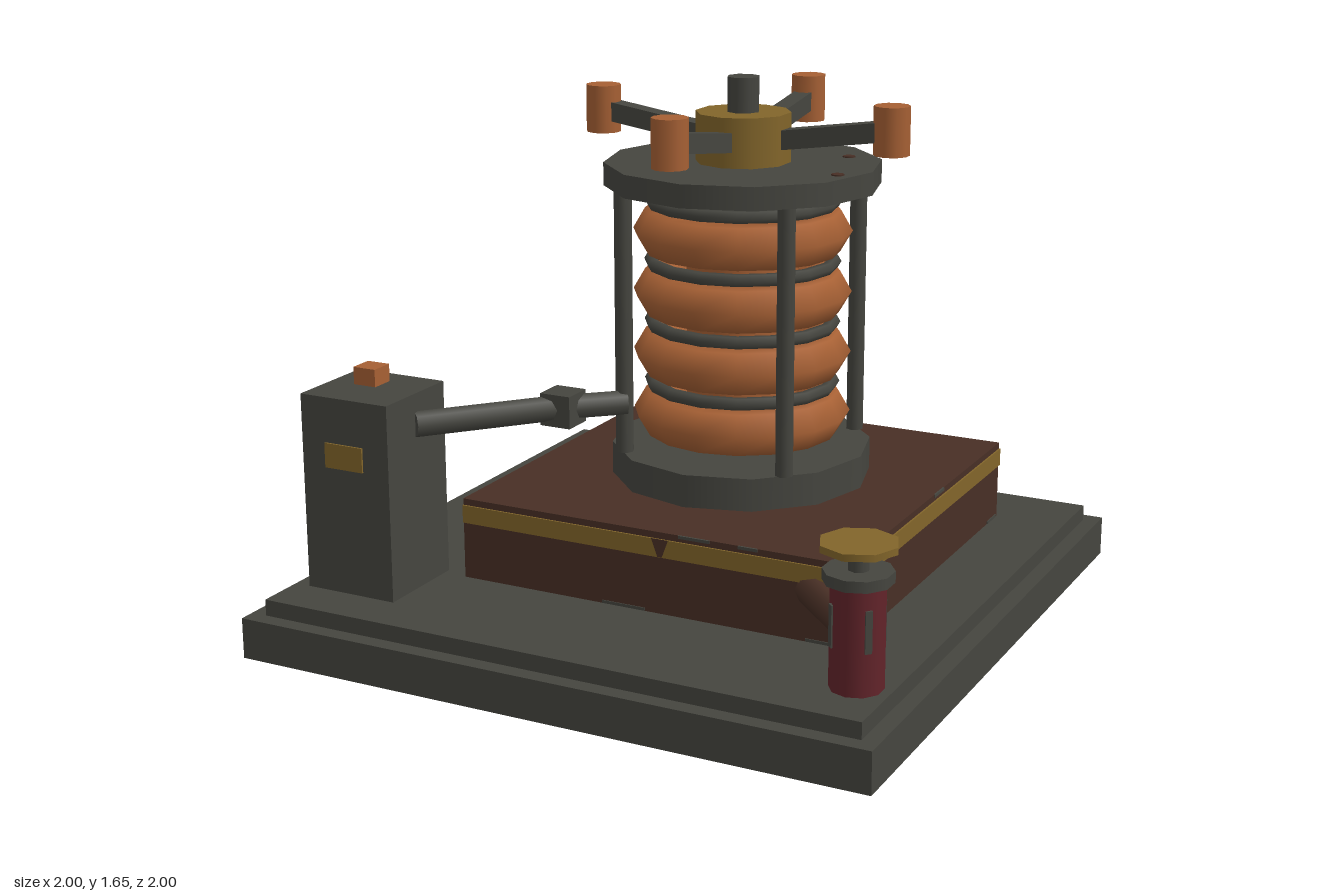
import * as THREE from 'three';

const mat = (name, color) => Object.assign(new THREE.MeshStandardMaterial({ color }), { name });

export function createModel() {
  const model = new THREE.Group();
  model.name = 'coilMachine';
  const iron = mat('dark iron', 0x45453f);
  const rust = mat('rusty brown', 0x482f25);
  const copper = mat('copper', 0xa66034);
  const brass = mat('brass', 0x82652a);
  const red = mat('dark red', 0x62242a);

  const add = (name, geometry, material, x, y, z, parent = model) => {
    const mesh = new THREE.Mesh(geometry, material);
    mesh.name = name;
    mesh.position.set(x, y, z);
    parent.add(mesh);
    return mesh;
  };
  // Box and upright cylinder given by bottom and top height
  const box = (name, m, w, d, y0, y1, x, z, parent) =>
    add(name, new THREE.BoxGeometry(w, y1 - y0, d), m, x, (y0 + y1) / 2, z, parent);
  const post = (name, m, r, y0, y1, x, z, sides, parent) =>
    add(name, new THREE.CylinderGeometry(r, r, y1 - y0, sides), m, x, (y0 + y1) / 2, z, parent);
  // Round bar between two points
  const rod = (name, m, r, a, b) => {
    const p = new THREE.Vector3(...a), q = new THREE.Vector3(...b);
    const dir = q.clone().sub(p), mid = p.clone().add(q).multiplyScalar(0.5);
    const mesh = add(name, new THREE.CylinderGeometry(r, r, dir.length(), 8), m, mid.x, mid.y, mid.z);
    mesh.quaternion.setFromUnitVectors(new THREE.Vector3(0, 1, 0), dir.normalize());
  };

  // Stepped base
  box('basePlate', iron, 2, 2, 0, 0.125, 0, 0);
  box('baseStep', iron, 1.9, 1.9, 0.125, 0.175, 0, 0);

  // Plinth with brass bands on the front and left faces
  box('plinth', rust, 1.25, 1.25, 0.175, 0.425, 0.1, -0.1);
  box('frontBand', brass, 1.25, 0.009, 0.35, 0.405, 0.1, 0.526);
  box('sideBand', brass, 0.009, 1.25, 0.35, 0.405, 0.726, -0.1);

  // Notch and worn chips on the plinth
  const notch = new THREE.Shape([[0.115, 0.406], [0.135, 0.352], [0.15, 0.352], [0.17, 0.406]]
    .map(([x, y]) => new THREE.Vector2(x, y)));
  add('bandNotch', new THREE.ShapeGeometry(notch), rust, 0, 0, 0.532);
  for (const [x, w, y] of [[0.02, 0.14, 0.176], [0.65, 0.1, 0.176], [0.25, 0.1, 0.416], [0.42, 0.06, 0.416]])
    box('frontChip', iron, w, 0.006, y, y + 0.009, x, 0.525);
  for (const [z, w, y] of [[0.33, 0.1, 0.176], [-0.67, 0.08, 0.176], [-0.18, 0.08, 0.416]])
    box('sideChip', iron, 0.006, w, y, y + 0.009, 0.725, z);

  // Coil column
  const column = new THREE.Group();
  column.name = 'coilColumn';
  column.position.set(0.1, 0, -0.1);
  model.add(column);
  post('columnFoot', iron, 0.4, 0.425, 0.525, 0, 0, 12, column);
  post('columnCore', copper, 0.17, 0.525, 1.33, 0, 0, 12, column);
  post('columnLid', iron, 0.42, 1.33, 1.4, 0, 0, 12, column);
  for (let i = 0; i < 4; i++) {
    const coil = add('copperCoil', new THREE.TorusGeometry(0.26, 0.073, 6, 16), copper, 0, 0.627 + i * 0.188, 0, column);
    const ring = add('ironRing', new THREE.TorusGeometry(0.28, 0.02, 6, 16), iron, 0, 0.72 + i * 0.188, 0, column);
    coil.rotation.x = ring.rotation.x = Math.PI / 2;
  }
  for (const sx of [-1, 1]) for (const sz of [-1, 1])
    post('cagePost', iron, 0.028, 0.525, 1.33, sx * 0.267, sz * 0.267, 8, column);
  for (const [x, z] of [[0.26, -0.2], [0.347, 0.09]])
    post('rustSpot', rust, 0.02, 1.4, 1.404, x, z, 7, column);

  // Hub with four raised arms
  post('hub', brass, 0.145, 1.4, 1.55, 0, 0, 10, column);
  post('hubPin', iron, 0.05, 1.55, 1.655, 0, 0, 8, column);
  for (let i = 0; i < 4; i++) {
    const arm = new THREE.Group();
    arm.name = 'arm';
    arm.rotation.y = i * Math.PI / 2;
    column.add(arm);
    const bar = add('armBar', new THREE.BoxGeometry(0.44, 0.058, 0.058), iron, 0.25, 1.493, 0, arm);
    bar.rotation.z = 0.147;
    post('armTip', copper, 0.054, 1.455, 1.6, 0.477, 0, 10, arm);
  }

  // Control tower
  box('tower', iron, 0.3, 0.3, 0.175, 0.775, -0.75, 0.65);
  box('towerButton', copper, 0.075, 0.075, 0.787, 0.84, -0.755, 0.645);
  box('towerPlate', brass, 0.13, 0.008, 0.562, 0.637, -0.753, 0.802);

  // Jointed pipe from tower to column
  rod('towerPipe', iron, 0.039, [-0.605, 0.68, 0.65], [-0.305, 0.68, 0.3]);
  rod('columnPipe', iron, 0.039, [-0.305, 0.68, 0.3], [-0.16, 0.68, 0.17]);
  box('pipeJoint', iron, 0.1, 0.1, 0.63, 0.73, -0.305, 0.3);

  // Valve canister and its feed pipe
  post('canister', red, 0.076, 0.175, 0.48, 0.85, 0.75, 10);
  post('canisterCap', iron, 0.098, 0.478, 0.51, 0.85, 0.75, 10);
  post('valveStem', iron, 0.03, 0.51, 0.57, 0.85, 0.75, 8);
  post('valveWheel', brass, 0.111, 0.568, 0.588, 0.85, 0.75, 8);
  for (let i = 0; i < 4; i++) {
    const a = Math.PI / 4 + i * Math.PI / 2;
    const slot = box('canisterSlot', iron, 0.02, 0.009, 0.3, 0.42, 0.85 + Math.sin(a) * 0.075, 0.75 + Math.cos(a) * 0.075);
    slot.rotation.y = a;
  }
  rod('feedPipe', rust, 0.045, [0.6, 0.325, 0.5], [0.85, 0.325, 0.75]);

  return model;
}
